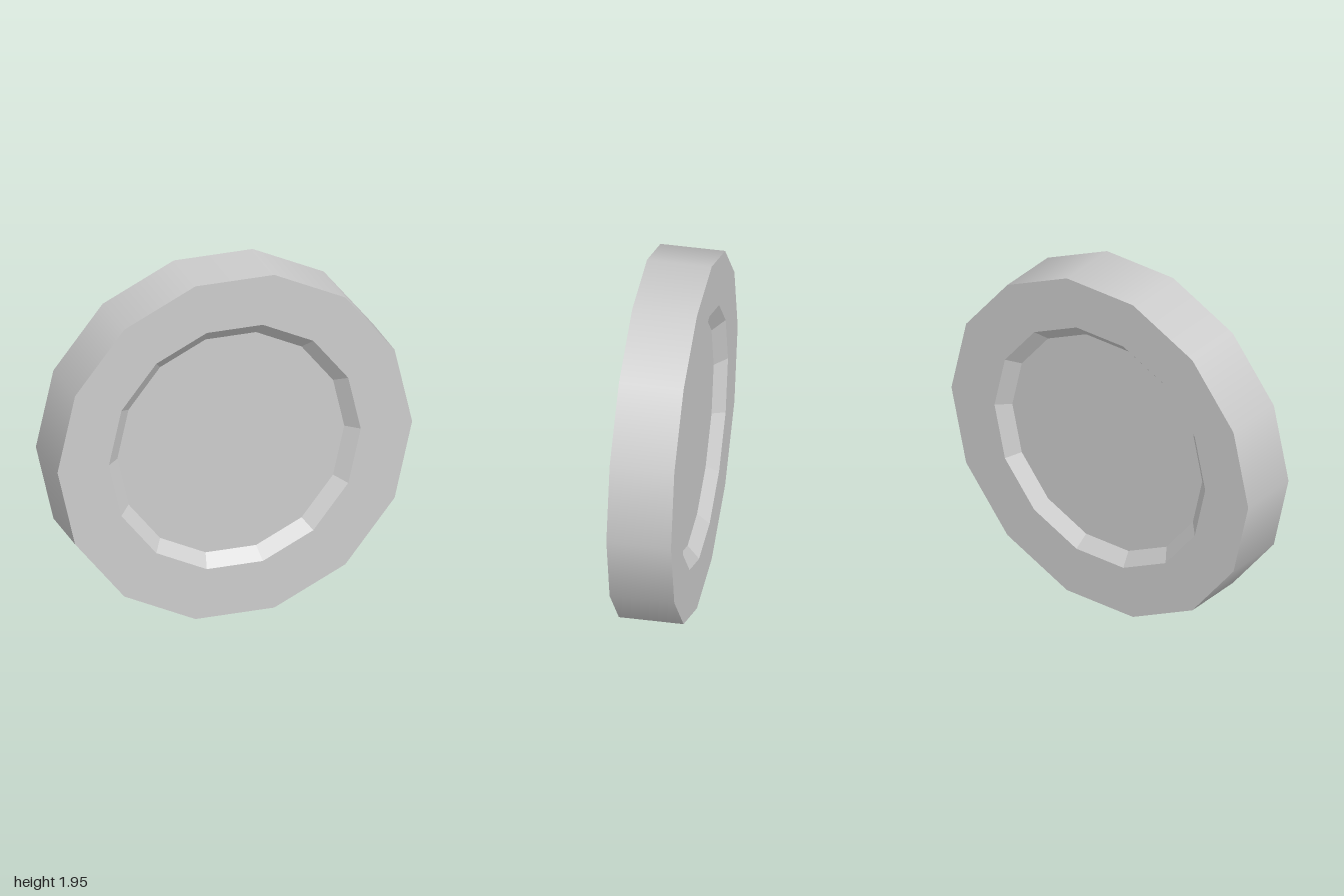
import * as THREE from 'three';

const SIDES = 14;
const RADIUS = 1, HALF_DEPTH = 0.175;
const LIP = 0.71, FLOOR = 0.64, RECESS = 0.065;

// Revolve [radius, z] points around the z axis, with a corner on +x
function revolve(name, points, flatShading) {
  const profile = points.map(([r, z]) => new THREE.Vector2(r, z));
  const geometry = new THREE.LatheGeometry(profile, SIDES, Math.PI / 2);
  geometry.rotateX(Math.PI / 2);
  const material = new THREE.MeshStandardMaterial({ color: 0xcccccc, flatShading });
  const mesh = new THREE.Mesh(geometry, material);
  mesh.name = name;
  return mesh;
}

export function createModel() {
  const wheel = new THREE.Group();
  wheel.name = 'wheel';

  // Smooth-shaded outer tread
  wheel.add(revolve('tread', [[RADIUS, -HALF_DEPTH], [RADIUS, HALF_DEPTH]], false));

  // Faceted face on each side: flat ring, sloped lip and recessed floor
  const face = [
    [RADIUS, HALF_DEPTH],
    [LIP, HALF_DEPTH],
    [FLOOR, HALF_DEPTH - RECESS],
    [0, HALF_DEPTH - RECESS],
  ];
  wheel.add(revolve('frontFace', face, true));
  wheel.add(revolve('backFace', face.map(([r, z]) => [r, -z]).reverse(), true));

  // Rest the bottom flat on the ground
  wheel.position.y = RADIUS * Math.cos(Math.PI / SIDES);

  const model = new THREE.Group();
  model.name = 'model';
  model.add(wheel);
  return model;
}
